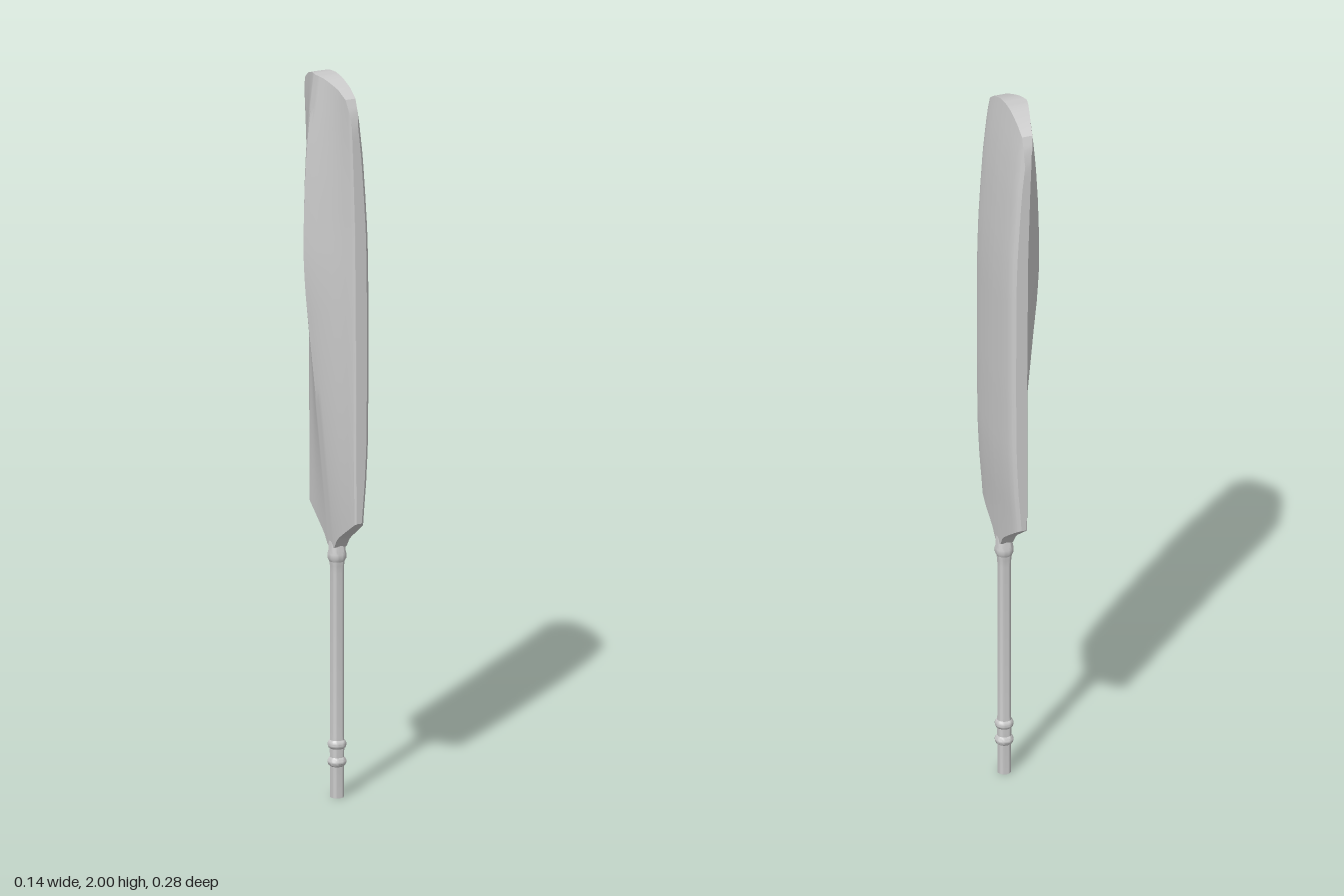
import * as THREE from 'three';
import { toCreasedNormals } from 'three/addons/utils/BufferGeometryUtils.js';

const grey = new THREE.MeshStandardMaterial({ color: 0xcccccc });

// Piecewise-linear lookup through [input, output] pairs
function along(points, v) {
  let i = 1;
  while (i < points.length - 1 && v > points[i][0]) i++;
  const [a, p] = points[i - 1], [b, q] = points[i];
  return THREE.MathUtils.lerp(p, q, THREE.MathUtils.clamp((v - a) / (b - a), 0, 1));
}

// Blade outline: height -> x of the ridge, the edge and the face
const ridge = [[0.68, 0.012], [0.8, 0], [1, -0.021], [1.2, -0.043], [1.4, -0.064], [1.5, -0.07],
  [1.6, -0.069], [1.7, -0.066], [1.8, -0.06], [1.9, -0.05], [2, -0.035]];
const edge = [[0.68, 0.016], [0.8, 0.014], [1.2, 0.013], [1.6, 0.01], [1.8, 0.004], [2, -0.004]];
const face = [[0.68, 0.047], [0.8, 0.054], [0.9, 0.062], [1, 0.067], [1.2, 0.069], [1.5, 0.068],
  [1.6, 0.065], [1.7, 0.059], [1.8, 0.052], [1.9, 0.041], [2, 0.025]];
// Distance from the centre line -> toe height, shoulder height, ridge share, face setback
const toe = [[0, 2], [0.03, 1.998], [0.06, 1.99], [0.09, 1.978], [0.12, 1.958], [0.133, 1.925], [0.14, 1.88]];
const shoulder = [[0, 0.69], [0.018, 0.69], [0.03, 0.712], [0.05, 0.73], [0.09, 0.757], [0.14, 0.79]];
const ridgeShare = [[0, 1], [0.02, 0.87], [0.05, 0.6], [0.09, 0.25], [0.12, 0.08], [0.133, 0], [0.14, 0]];
const setback = [[0, 0], [0.06, 0.002], [0.09, 0.004], [0.12, 0.008], [0.133, 0.013], [0.14, 0.021]];

function bladeGeometry() {
  const half = [0.01, 0.02, 0.035, 0.05, 0.07, 0.09, 0.108, 0.12, 0.128, 0.133, 0.137, 0.14];
  const zs = [...half.map(z => -z).reverse(), 0, ...half];
  const n = zs.length, ring = 2 * n, rows = 30;
  const position = [], index = [];

  for (let i = 0; i <= rows; i++) {
    for (let j = 0; j < ring; j++) {
      const front = j < n;
      const z = zs[front ? j : ring - 1 - j], d = Math.abs(z);
      const y = THREE.MathUtils.lerp(along(shoulder, d), along(toe, d), i / rows);
      const e = along(edge, y);
      const back = e + (along(ridge, y) - e) * along(ridgeShare, d) + (d > 0.135 ? 0.004 : 0);
      position.push(front ? along(face, y) - along(setback, d) : back, y, z);
    }
  }
  // Sides
  for (let i = 0; i < rows; i++) {
    for (let j = 0; j < ring; j++) {
      const a = i * ring + j, b = i * ring + (j + 1) % ring;
      index.push(a, a + ring, b, b, a + ring, b + ring);
    }
  }
  // Shoulder and toe surfaces, bridging face to back
  const top = rows * ring;
  for (let j = 0; j < n - 1; j++) {
    const f = j, g = j + 1, b = ring - 1 - j, c = ring - 2 - j;
    index.push(f, c, b, f, g, c);
    index.push(top + b, top + c, top + f, top + c, top + g, top + f);
  }
  const geometry = new THREE.BufferGeometry();
  geometry.setAttribute('position', new THREE.Float32BufferAttribute(position, 3));
  geometry.setIndex(index);
  return toCreasedNormals(geometry, 0.6);
}

// Round part turned about the handle axis
function turned(name, profile) {
  const points = profile.map(([r, y]) => new THREE.Vector2(r, y));
  const mesh = new THREE.Mesh(toCreasedNormals(new THREE.LatheGeometry(points, 28), 0.7), grey);
  mesh.name = name;
  mesh.position.x = 0.029;
  return mesh;
}

export function createModel() {
  const group = new THREE.Group();
  group.name = 'bat';

  const blade = new THREE.Mesh(bladeGeometry(), grey);
  blade.name = 'blade';
  group.add(blade);

  group.add(turned('handle', [[0, 0], [0.018, 0], [0.018, 0.09], [0.02, 0.15], [0.018, 0.17],
    [0.018, 0.62], [0.019, 0.64], [0.022, 0.66], [0.022, 0.7], [0, 0.7]]));

  // Raised grip rings
  for (const y of [0.098, 0.146]) {
    group.add(turned('gripRing', [[0.018, y - 0.012], [0.023, y - 0.008], [0.025, y - 0.002],
      [0.025, y + 0.003], [0.022, y + 0.009], [0.018, y + 0.014]]));
  }

  // Collar where the handle meets the blade
  group.add(turned('collar', [[0.02, 0.65], [0.025, 0.66], [0.025, 0.672], [0.023, 0.68],
    [0.022, 0.7], [0.018, 0.715], [0, 0.72]]));
  return group;
}
